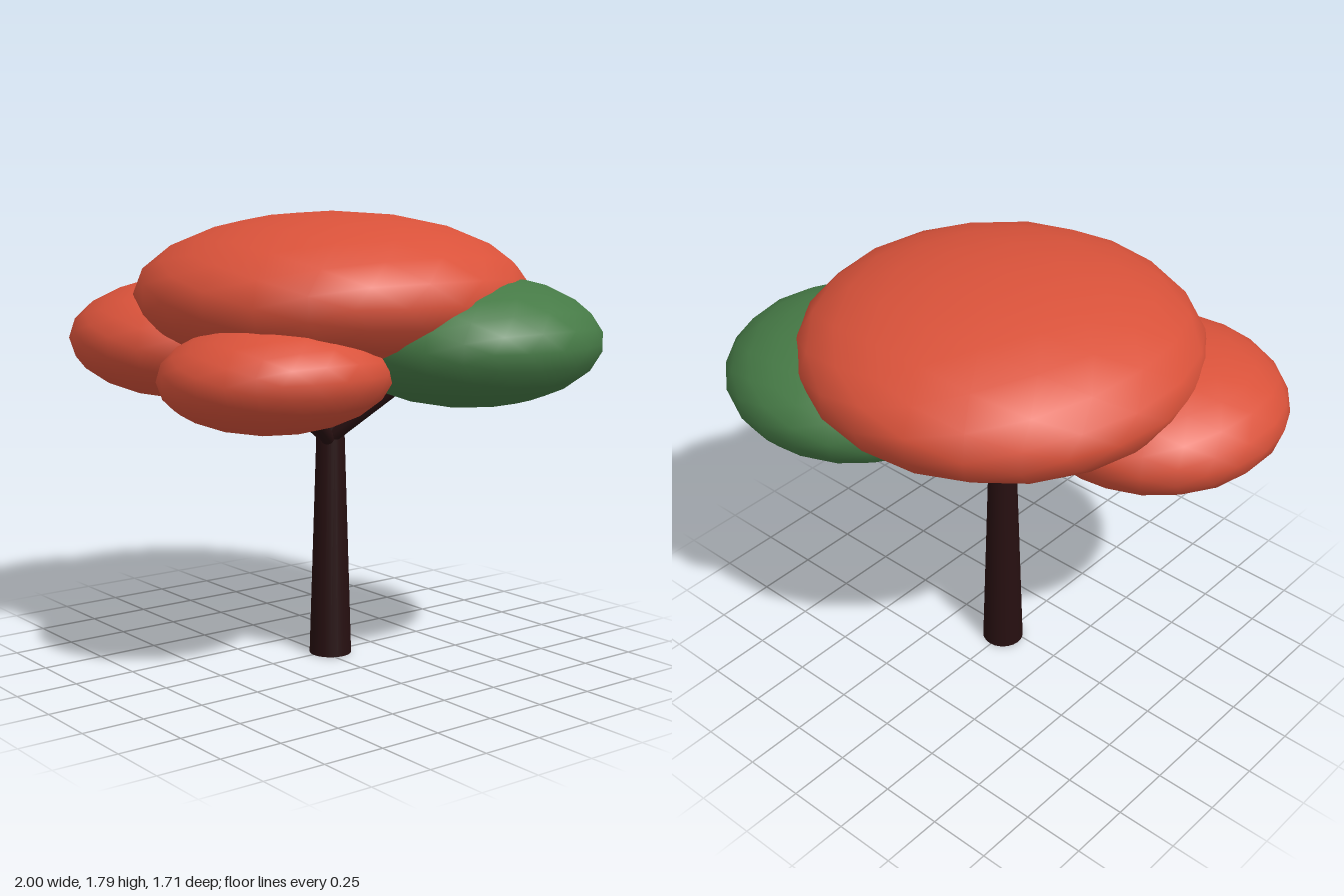
import * as THREE from 'three';

export function createModel() {
  const tree = new THREE.Group();
  tree.name = 'tree';

  const material = (name, color) => {
    const m = new THREE.MeshStandardMaterial({ color });
    m.name = name;
    return m;
  };
  const bark = material('dark bark', 0x260f10);
  const orange = material('orange leaves', 0xd9523a);
  const green = material('green leaves', 0x467a46);

  const add = (name, geometry, mat) => {
    const mesh = new THREE.Mesh(geometry, mat);
    mesh.name = name;
    tree.add(mesh);
    return mesh;
  };

  // Tapered round limb running between two points
  const limb = (name, from, to, r0, r1, sides) => {
    const a = new THREE.Vector3(...from);
    const b = new THREE.Vector3(...to);
    const dir = b.clone().sub(a);
    const mesh = add(name, new THREE.CylinderGeometry(r1, r0, dir.length(), sides), bark);
    mesh.position.copy(a).add(b).multiplyScalar(0.5);
    mesh.quaternion.setFromUnitVectors(new THREE.Vector3(0, 1, 0), dir.normalize());
  };

  // Flattened, smooth clump of leaves
  const clump = (name, mat, centre, radii, tilt = 0) => {
    const mesh = add(name, new THREE.IcosahedronGeometry(1, 3), mat);
    mesh.position.set(...centre);
    mesh.scale.set(...radii);
    mesh.rotation.z = tilt;
  };

  // Trunk with a thin leader continuing into the crown
  limb('trunk', [0.005, 0, -0.035], [0.005, 0.99, -0.035], 0.085, 0.054, 20);
  limb('leader', [0.005, 0.9, -0.035], [0.005, 1.17, -0.035], 0.026, 0.024, 10);

  // Side branches, each reaching into its own clump
  limb('leftBranch', [0.03, 0.9, -0.02], [0.31, 1.16, -0.21], 0.03, 0.024, 10);
  limb('rightBranch', [-0.01, 0.89, -0.03], [-0.28, 1.11, 0.12], 0.03, 0.024, 10);
  limb('frontBranch', [0.02, 0.88, -0.02], [0.15, 1.05, 0.2], 0.03, 0.024, 10);

  // Crown
  clump('topCanopy', orange, [0.005, 1.47, -0.04], [0.78, 0.32, 0.78]);
  clump('rightCanopy', orange, [-0.49, 1.275, 0.28], [0.51, 0.25, 0.515]);
  clump('leftCanopy', green, [0.47, 1.305, -0.335], [0.53, 0.256, 0.52]);
  clump('frontCanopy', orange, [0.245, 1.195, 0.405], [0.435, 0.215, 0.445], 0.06);

  return tree;
}
